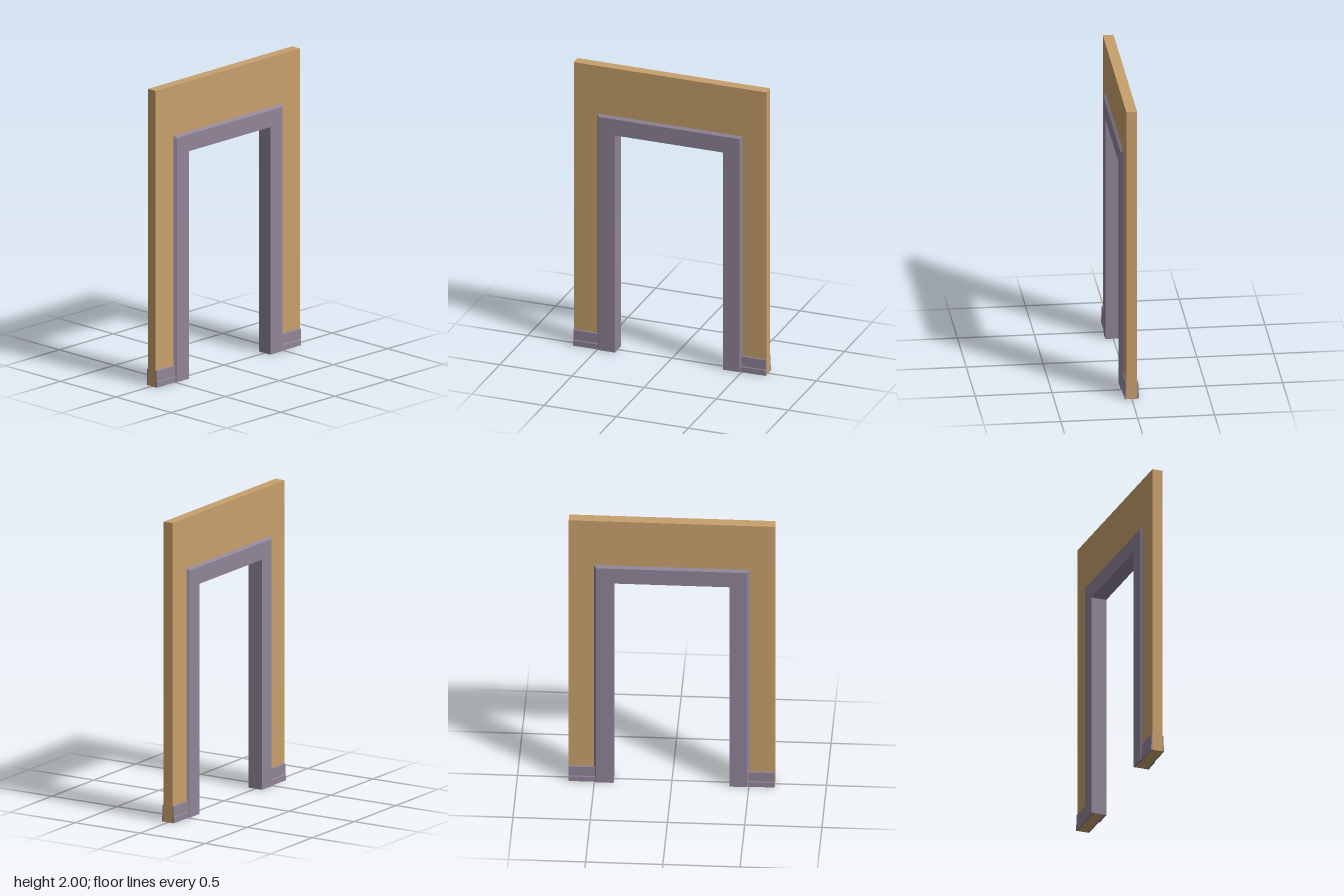
import * as THREE from 'three';

const HALF = 0.667, WALL_X = 0.035, TRIM_X = 0.052;
const OPEN_Z = 0.375, OPEN_Y = 1.535;

// Wall slab with a doorway notch, extruded across x
function wallGeometry() {
  const z = OPEN_Z + 0.005, y = OPEN_Y + 0.005;
  const shape = new THREE.Shape([
    [-HALF, 0], [-z, 0], [-z, y], [z, y], [z, 0], [HALF, 0], [HALF, 2], [-HALF, 2],
  ].map(([a, b]) => new THREE.Vector2(a, b)));
  const g = new THREE.ExtrudeGeometry(shape, { depth: 2 * WALL_X, bevelEnabled: false });
  g.translate(0, 0, -WALL_X);
  return g.rotateY(Math.PI / 2);
}

// Door lining and casing: a mitred profile swept up, over and down the opening
function trimGeometry() {
  // profile points: [distance outward from the opening, x]
  const outer = [[0.128, -WALL_X], [0.113, -TRIM_X], [0, -TRIM_X], [0, TRIM_X], [0.113, TRIM_X], [0.128, WALL_X]];
  const inner = [[0.128, -WALL_X], [0.113, -WALL_X], [0.005, -WALL_X], [0.005, WALL_X], [0.113, WALL_X], [0.128, WALL_X]];
  const path = [[1, 0], [1, 1], [-1, 1], [-1, 0]];
  const point = ([o, x], [side, top]) => [x, top * (OPEN_Y + o), side * (OPEN_Z + o)];
  const pos = [];
  const quad = (a, b, c, d) => pos.push(...a, ...b, ...c, ...a, ...c, ...d);
  for (let i = 0; i < outer.length - 1; i++) {
    for (let j = 0; j < path.length - 1; j++) {
      quad(point(outer[i], path[j]), point(outer[i], path[j + 1]),
        point(outer[i + 1], path[j + 1]), point(outer[i + 1], path[j]));
    }
    // feet of the two legs
    const foot = (p) => [point(outer[i], p), point(outer[i + 1], p), point(inner[i + 1], p), point(inner[i], p)];
    quad(...foot(path[0]));
    quad(...foot(path[3]).reverse());
  }
  const g = new THREE.BufferGeometry();
  g.setAttribute('position', new THREE.Float32BufferAttribute(pos, 3));
  g.computeVertexNormals();
  return g;
}

// Stepped skirting board profile, extruded along z
function skirtingGeometry(length) {
  const shape = new THREE.Shape([
    [0.034, 0], [0.046, 0], [0.046, 0.036], [0.042, 0.041], [0.042, 0.109], [0.038, 0.114], [0.034, 0.114],
  ].map(([a, b]) => new THREE.Vector2(a, b)));
  const g = new THREE.ExtrudeGeometry(shape, { depth: length, bevelEnabled: false });
  return g.translate(0, 0, -length / 2);
}

export function createModel() {
  const model = new THREE.Group();
  const wallMat = new THREE.MeshStandardMaterial({ color: 0xc8a06c });
  const trimMat = new THREE.MeshStandardMaterial({ color: 0x908598 });
  const add = (name, geometry, material) => {
    const mesh = new THREE.Mesh(geometry, material);
    mesh.name = name;
    model.add(mesh);
    return mesh;
  };

  add('wall', wallGeometry(), wallMat);
  add('doorTrim', trimGeometry(), trimMat);

  // Skirting on both faces, either side of the doorway
  const start = 0.492, skirting = skirtingGeometry(HALF - start);
  for (const face of [1, -1]) {
    for (const end of [1, -1]) {
      const board = add(`skirting${face > 0 ? 'Left' : 'Right'}${end > 0 ? 'Front' : 'Back'}`, skirting, trimMat);
      board.position.z = end * (HALF + start) / 2;
      board.rotation.y = face > 0 ? 0 : Math.PI;
    }
  }
  return model;
}
